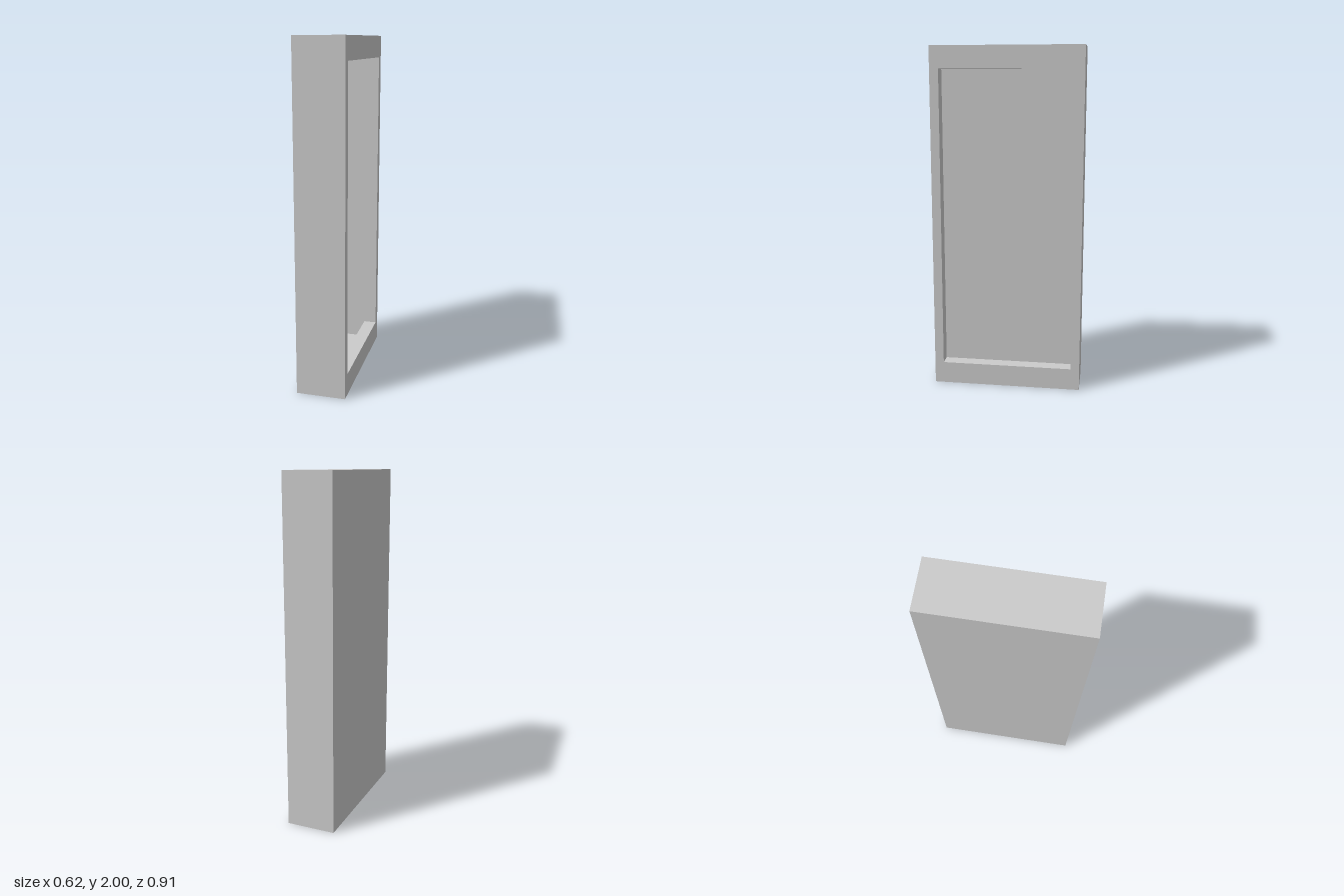
import * as THREE from 'three';

const L = 0.872, H = 2, D = 0.286;   // case length, height, depth
const SIDE = 0.052, END = 0.128;     // frame border widths
const LIP = 0.077;                   // depth of the lip behind the opening

const material = new THREE.MeshStandardMaterial({ color: 0xcccccc, side: THREE.DoubleSide });

function addMesh(parent, name, geometry) {
  const mesh = new THREE.Mesh(geometry, material);
  mesh.name = name;
  parent.add(mesh);
  return mesh;
}

// Four thin walls around a w x h rectangle, running back from z = front
function addWalls(parent, name, w, h, front, depth) {
  const walls = new THREE.Group();
  walls.name = name;
  for (const s of [-1, 1]) {
    const side = addMesh(walls, name + 'Side', new THREE.PlaneGeometry(depth, h));
    side.rotation.y = s * Math.PI / 2;
    side.position.set(s * w / 2, 0, front - depth / 2);
    const end = addMesh(walls, name + 'End', new THREE.PlaneGeometry(w, depth));
    end.rotation.x = -s * Math.PI / 2;
    end.position.set(0, s * h / 2, front - depth / 2);
  }
  parent.add(walls);
}

function rectangle(path, w, h) {
  return path.moveTo(-w / 2, -h / 2).lineTo(w / 2, -h / 2).lineTo(w / 2, h / 2).lineTo(-w / 2, h / 2).closePath();
}

export function createModel() {
  const model = new THREE.Group();
  model.name = 'openCase';
  const body = new THREE.Group();
  body.name = 'body';
  const w = L - 2 * SIDE, h = H - 2 * END;

  // Hollow shell: outer walls and back panel
  addWalls(body, 'outerWall', L, H, D / 2, D);
  const back = addMesh(body, 'backPanel', new THREE.PlaneGeometry(L, H));
  back.rotation.y = Math.PI;
  back.position.z = -D / 2;

  // Border around the opening, with a lip turned inwards
  const shape = rectangle(new THREE.Shape(), L, H);
  shape.holes.push(rectangle(new THREE.Path(), w, h));
  addMesh(body, 'frontFrame', new THREE.ShapeGeometry(shape)).position.z = D / 2;
  addWalls(body, 'openingLip', w, h, D / 2, LIP);

  // The case stands turned about its vertical axis
  body.rotation.y = THREE.MathUtils.degToRad(114.4);
  body.position.y = H / 2;
  model.add(body);
  return model;
}
